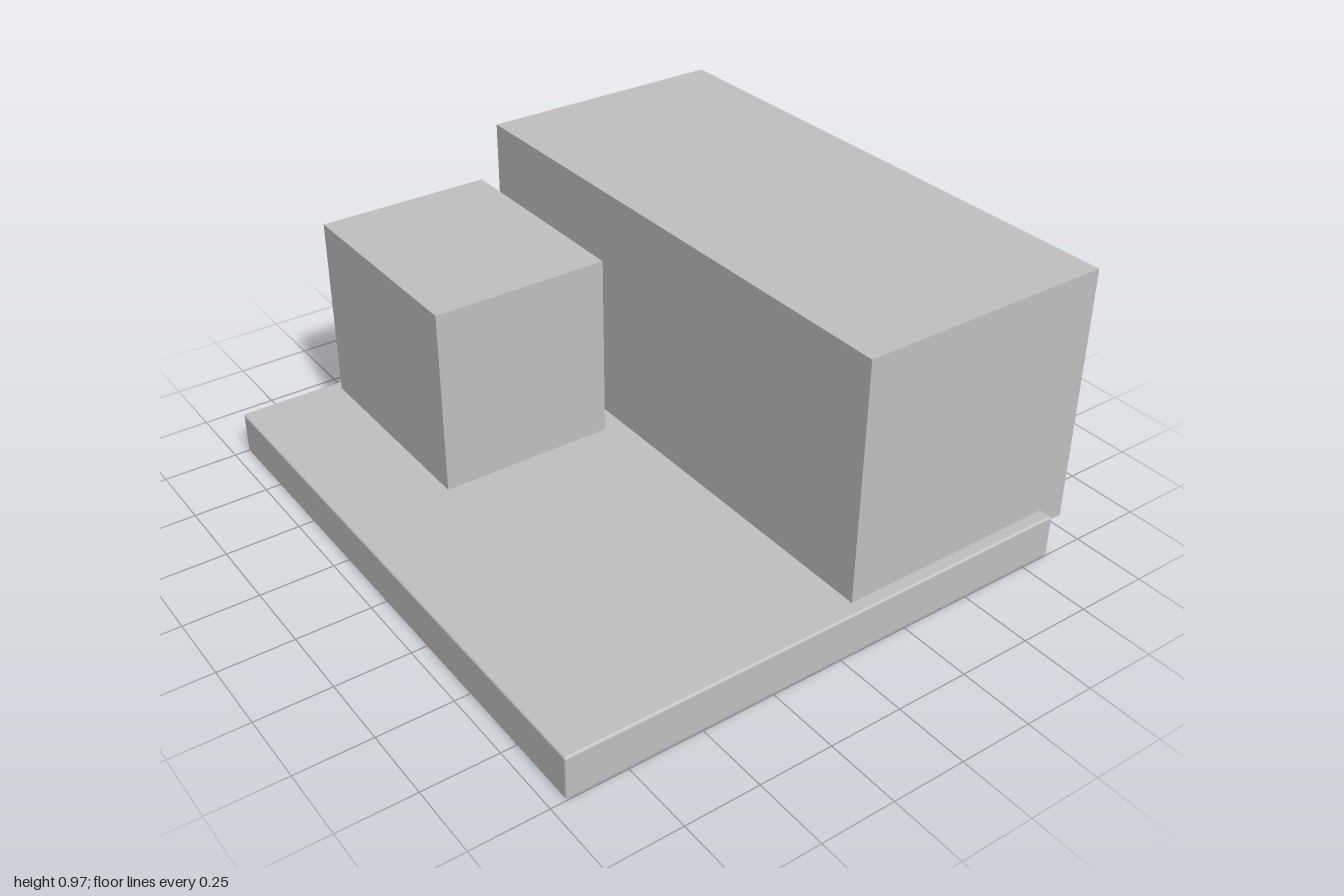
import * as THREE from 'three';
import { RoundedBoxGeometry } from 'three/addons/geometries/RoundedBoxGeometry.js';

const grey = new THREE.MeshStandardMaterial({ color: 0xc0c0c0 });
grey.name = 'light grey';

// Place a block by its lower and upper corners; an edge radius softens it
function block(name, min, max, radius = 0) {
  const size = max.map((v, i) => v - min[i]);
  const geometry = radius
    ? new RoundedBoxGeometry(...size, 2, radius)
    : new THREE.BoxGeometry(...size);
  const mesh = new THREE.Mesh(geometry, grey);
  mesh.name = name;
  mesh.position.set(...max.map((v, i) => (v + min[i]) / 2));
  return mesh;
}

export function createModel() {
  const model = new THREE.Group();
  model.name = 'blocksOnBase';
  model.add(
    // Slab with finely eased edges
    block('baseSlab', [-1, 0, -0.857], [1, 0.15, 0.95], 0.008),
    // Long block overhanging the back of the slab
    block('rearBlock', [-0.955, 0.09, -0.95], [0.955, 0.973, -0.07]),
    // Smaller block at the front right
    block('frontBlock', [-0.955, 0.09, 0], [-0.21, 0.786, 0.603]),
  );
  return model;
}
